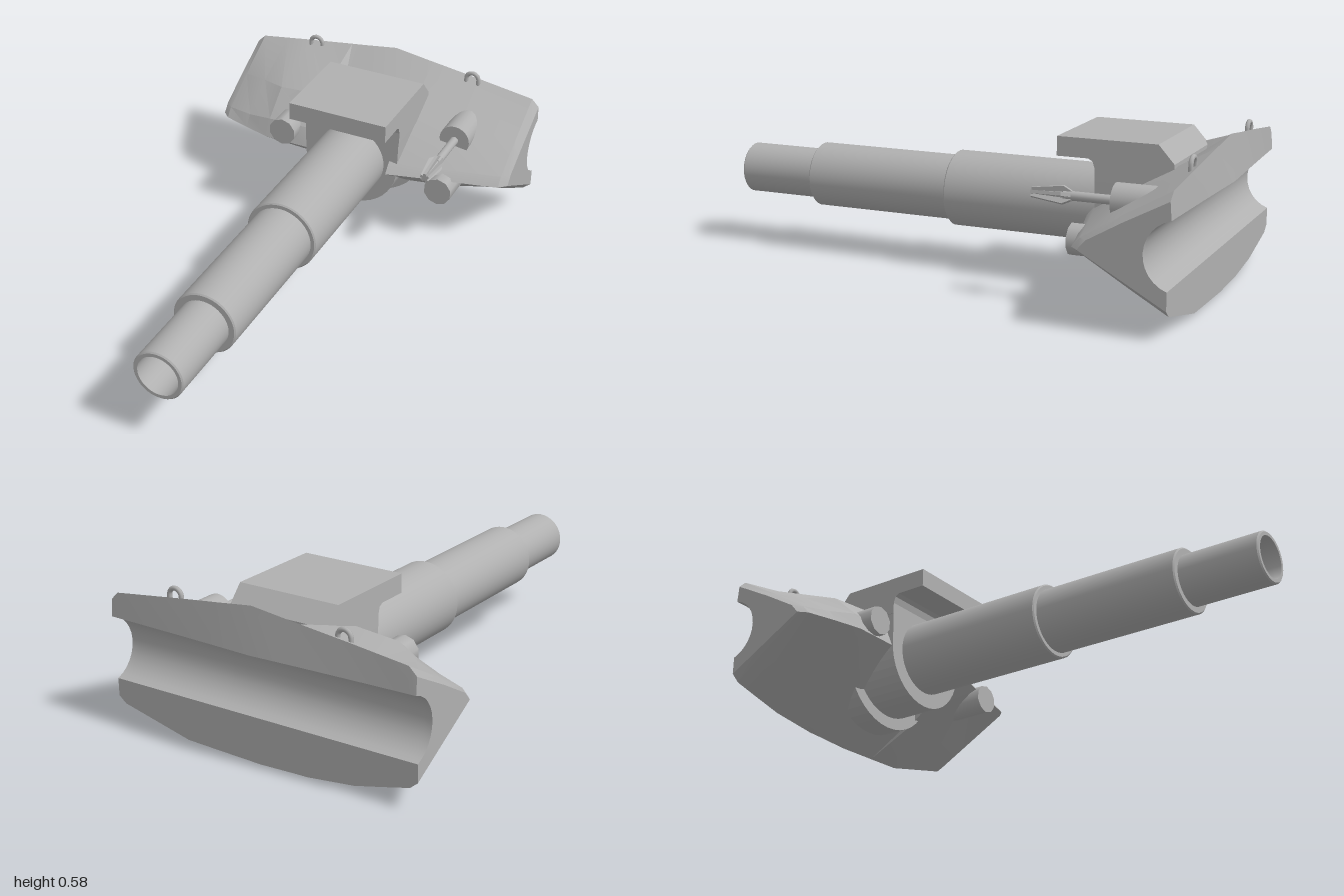
import * as THREE from 'three';
import { toCreasedNormals } from 'three/addons/utils/BufferGeometryUtils.js';

const GUN_Y = 0.295;

// Side profile of the mantlet at one station, as [z, y] from the top edge over the nose to the back trough
function mantletProfile([x, top, bottom, nose, bulge]) {
  const t = Math.abs(x) / 0.64;
  const zTop = -0.98 + 0.015 * t, zBack = -1 + 0.03 * t;
  const pts = [
    [zTop, top],
    [THREE.MathUtils.lerp(zTop, nose, 0.5) + bulge * 0.8, THREE.MathUtils.lerp(top, 0.31, 0.5) + bulge * 0.3],
    [nose - 0.03, 0.32 + bulge * 0.4],
    [nose, 0.285],
    [THREE.MathUtils.lerp(nose, -0.96, 0.6), THREE.MathUtils.lerp(0.285, bottom, 0.6) - 0.03 * (1 - t)],
    [-0.96, bottom],
  ];
  // Concave trough along the back
  const a0 = -Math.acos(0.04 / 0.125), a1 = Math.acos((zBack + 1) / 0.125);
  for (let i = 0; i <= 12; i++) {
    const a = a0 + (a1 - a0) * i / 12;
    pts.push([-1 + 0.125 * Math.cos(a), GUN_Y + 0.125 * Math.sin(a)]);
  }
  return pts;
}

// Loft the profiles along x and close both ends
function mantletGeometry() {
  // x, top, bottom, nose z, sight bulge
  const stations = [
    [-0.64, 0.48, 0.11, -0.645, 0],
    [-0.61, 0.51, 0.085, -0.615, 0],
    [-0.5, 0.525, 0.058, -0.58, 0.03],
    [-0.39, 0.54, 0.032, -0.55, 0.09],
    [-0.2, 0.564, 0.011, -0.55, 0.1],
    [-0.15, 0.57, 0.01, -0.58, 0],
    [0, 0.59, 0.005, -0.58, 0],
    [0.168, 0.568, 0.01, -0.58, 0],
    [0.17, 0.568, 0.01, -0.505, 0],
    [0.32, 0.549, 0.015, -0.545, 0],
    [0.61, 0.51, 0.085, -0.615, 0],
    [0.64, 0.48, 0.11, -0.645, 0],
  ];
  const rings = stations.map((s) => mantletProfile(s).map(([z, y]) => [s[0], y, z]));
  const pos = [];
  const tri = (a, b, c) => pos.push(...a, ...b, ...c);
  const n = rings[0].length;
  for (let s = 0; s < rings.length - 1; s++) {
    for (let i = 0; i < n; i++) {
      const j = (i + 1) % n;
      const a = rings[s][i], b = rings[s + 1][i], c = rings[s + 1][j], d = rings[s][j];
      tri(a, d, c);
      tri(a, c, b);
    }
  }
  for (const [ring, flip] of [[rings[0], true], [rings[rings.length - 1], false]]) {
    const faces = THREE.ShapeUtils.triangulateShape(ring.map((p) => new THREE.Vector2(-p[2], p[1])), []);
    for (const [a, b, c] of faces) flip ? tri(ring[a], ring[c], ring[b]) : tri(ring[a], ring[b], ring[c]);
  }
  const geo = new THREE.BufferGeometry();
  geo.setAttribute('position', new THREE.Float32BufferAttribute(pos, 3));
  return toCreasedNormals(geo, 0.4);
}

// U-shaped block with a round underside, between two z positions
function uBlock(radius, topHalfWidth, topY, z0, z1) {
  const shape = new THREE.Shape();
  shape.moveTo(topHalfWidth, topY);
  shape.lineTo(-topHalfWidth, topY);
  shape.absarc(0, GUN_Y, radius, Math.PI, Math.PI * 2, false);
  const geo = new THREE.ExtrudeGeometry(shape, { depth: z1 - z0, bevelEnabled: false, curveSegments: 10 });
  return geo.translate(0, 0, z0);
}

// Cylinder along z
function rod(r0, r1, z0, z1, sides) {
  return new THREE.CylinderGeometry(r1, r0, z1 - z0, sides).rotateX(Math.PI / 2).translate(0, 0, (z0 + z1) / 2);
}

export function createModel() {
  const group = new THREE.Group();
  const grey = new THREE.MeshStandardMaterial({ color: 0xb0b0b0 });
  grey.name = 'plain grey';
  const add = (name, geo, x = 0, y = 0, z = 0, parent = group) => {
    const mesh = new THREE.Mesh(geo, grey);
    mesh.name = name;
    mesh.position.set(x, y, z);
    parent.add(mesh);
    return mesh;
  };

  add('mantlet', mantletGeometry());

  // Gun cradle with its wider rear collar
  add('cradle', uBlock(0.203, 0.207, 0.475, -0.84, -0.545));
  add('cradleCollar', uBlock(0.25, 0.25, 0.3, -0.83, -0.73));

  // Overhanging cover above the gun
  const cover = new THREE.Shape([
    [-0.4, 0.572], [-0.4, 0.5], [-0.52, 0.5], [-0.537, 0.49], [-0.545, 0.465],
    [-0.545, 0.42], [-0.84, 0.42], [-0.84, 0.505], [-0.78, 0.572],
  ].map(([z, y]) => new THREE.Vector2(-z, y)));
  const coverGeo = new THREE.ExtrudeGeometry(cover, { depth: 0.416, bevelEnabled: false });
  add('gunCover', coverGeo.rotateY(Math.PI / 2).translate(-0.208, 0, 0));

  // Stepped barrel with an open bore
  const barrel = [
    [0.145, -0.7], [0.145, 0.08], [0.14, 0.085], [0.125, 0.085], [0.125, 0.675],
    [0.12, 0.68], [0.098, 0.68], [0.098, 0.995], [0.093, 1], [0.08, 1], [0.08, 0.4], [0, 0.4],
  ].map(([r, z]) => new THREE.Vector2(r, z));
  const barrelGeo = new THREE.LatheGeometry(barrel, 40).rotateX(Math.PI / 2);
  add('barrel', toCreasedNormals(barrelGeo, 0.5), 0, GUN_Y, 0);

  // Sight ports either side of the gun
  add('rightSightPort', rod(0.058, 0.058, -0.72, -0.525, 10), -0.305, 0.345);
  add('leftSightPort', rod(0.058, 0.058, -0.72, -0.53, 10), 0.387, 0.25);

  // Coaxial gun: round socket, thin barrel, five-finned muzzle
  const coax = new THREE.Group();
  coax.name = 'coaxialGun';
  coax.position.set(0.387, 0.403, 0);
  group.add(coax);
  add('socket', rod(0.063, 0.063, -0.86, -0.69, 24), 0, 0, 0, coax);
  add('thinBarrel', rod(0.017, 0.017, -0.7, -0.5, 16), 0, 0, 0, coax);
  add('muzzleCore', rod(0.015, 0.01, -0.51, -0.385, 10), 0, 0, 0, coax);
  const finShape = new THREE.Shape([[0, 0.53], [0.018, 0.53], [0.034, 0.5], [0.018, 0.38], [0, 0.38]]
    .map(([r, u]) => new THREE.Vector2(r, -u)));
  for (let i = 0; i < 5; i++) {
    const fin = new THREE.ExtrudeGeometry(finShape, { depth: 0.012, bevelEnabled: false });
    fin.translate(0, 0, -0.006).rotateX(Math.PI / 2).rotateZ(Math.PI / 2 + i * Math.PI * 0.4);
    add('muzzleFin', fin, 0, 0, 0, coax);
  }

  // Lifting eyes on the top edge
  for (const side of [-1, 1]) {
    const path = [new THREE.Vector3(-0.026, -0.05, 0)];
    for (let i = 0; i <= 8; i++) {
      const a = Math.PI * (1 - i / 8);
      path.push(new THREE.Vector3(0.026 * Math.cos(a), 0.026 * Math.sin(a), 0));
    }
    path.push(new THREE.Vector3(0.026, -0.03, 0));
    const eye = new THREE.TubeGeometry(new THREE.CatmullRomCurve3(path), 24, 0.009, 8);
    add(side > 0 ? 'leftLiftingEye' : 'rightLiftingEye', eye, side * 0.354, 0.546, -0.95);
  }
  return group;
}
